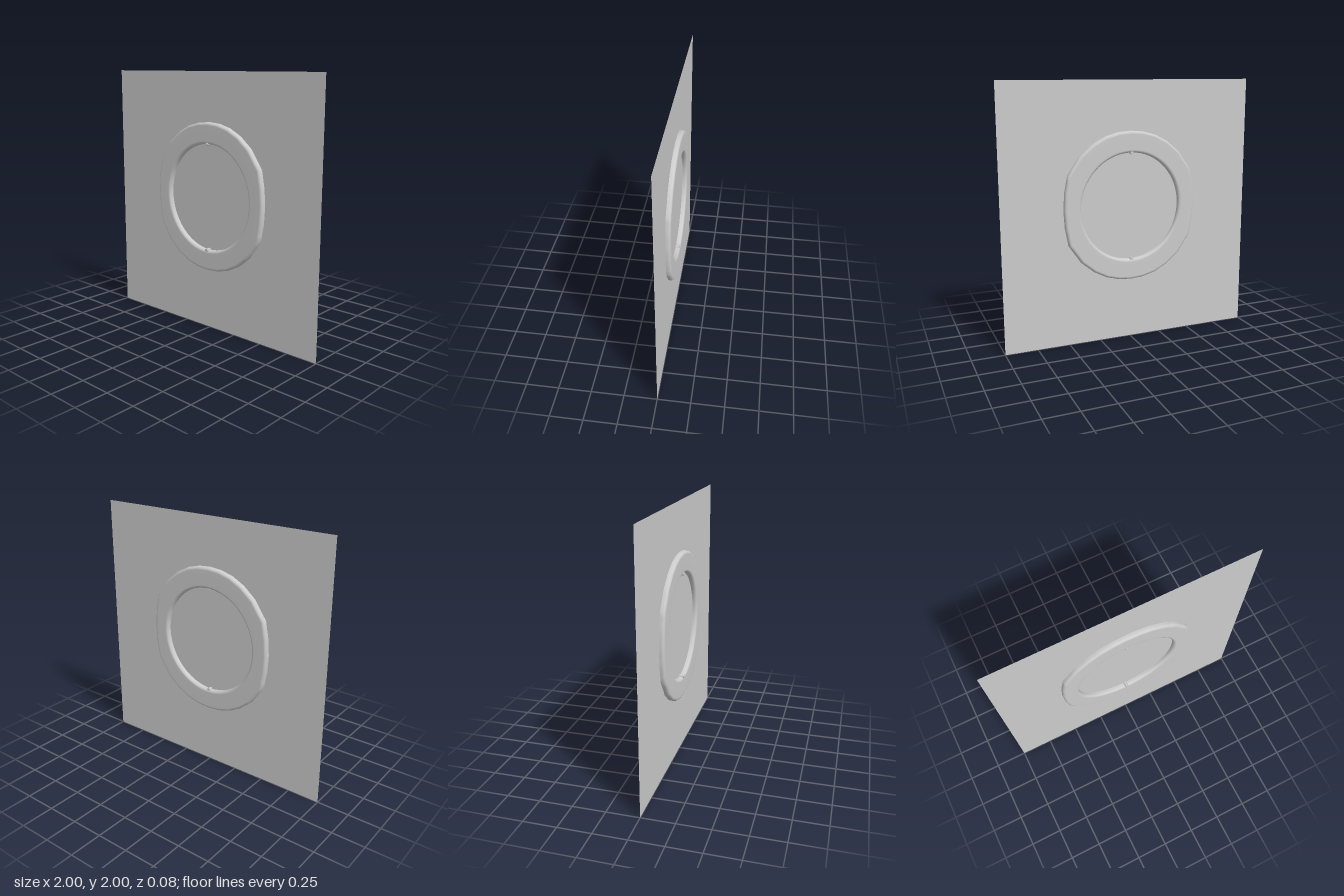
import * as THREE from 'three';

const CENTRE_Y = 1.05;
const HALF_DEPTH = 0.037;
const BEVEL = 0.022;

// Outer edge of the ring in one quadrant, from the side to the top
const QUADRANT = [
  [0.53, 0], [0.522, 0.13], [0.497, 0.265], [0.4, 0.405],
  [0.3, 0.488], [0.2, 0.54], [0.1, 0.567], [0, 0.575],
];

// Mirrors the quadrant into a closed outline and subdivides each side
function outerLoop(steps) {
  const back = QUADRANT.slice(1, -1).reverse();
  const corners = [
    ...QUADRANT,
    ...back.map(([x, y]) => [-x, y]),
    ...QUADRANT.map(([x, y]) => [-x, -y]),
    ...back.map(([x, y]) => [x, -y]),
  ];
  // the two side points sit on the mirror axis, so drop the repeat
  corners.splice(QUADRANT.length + back.length, 1, [-QUADRANT[0][0], 0]);
  const loop = [];
  corners.forEach(([x, y], i) => {
    const [nx, ny] = corners[(i + 1) % corners.length];
    for (let k = 0; k < steps; k++) {
      const t = k / steps;
      loop.push(new THREE.Vector2(x + (nx - x) * t, y + (ny - y) * t));
    }
  });
  return loop;
}

// Rounded-rectangle section swept around between inner ellipse and outer edge
function ringGeometry() {
  const loop = outerLoop(3);
  const arc = 5;
  const count = 4 * (arc + 1);
  const positions = [];
  const index = [];
  loop.forEach((outer, i) => {
    const a = Math.atan2(outer.y, outer.x);
    const inner = new THREE.Vector2(0.4 * Math.cos(a), 0.412 * Math.sin(a));
    const dir = outer.clone().sub(inner);
    const width = dir.length();
    dir.normalize();
    for (let c = 0; c < 4; c++) {
      const cornerS = c === 0 || c === 3 ? width - BEVEL : BEVEL;
      const cornerZ = (c < 2 ? 1 : -1) * (HALF_DEPTH - BEVEL);
      for (let k = 0; k <= arc; k++) {
        const t = (c + k / arc) * Math.PI / 2;
        const s = cornerS + BEVEL * Math.cos(t);
        positions.push(inner.x + dir.x * s, inner.y + dir.y * s, cornerZ + BEVEL * Math.sin(t));
      }
    }
    const next = (i + 1) % loop.length;
    for (let j = 0; j < count; j++) {
      const j2 = (j + 1) % count;
      const p = i * count + j, q = next * count + j;
      const p2 = i * count + j2, q2 = next * count + j2;
      index.push(p, q, q2, p, q2, p2);
    }
  });
  const geometry = new THREE.BufferGeometry();
  geometry.setAttribute('position', new THREE.Float32BufferAttribute(positions, 3));
  geometry.setIndex(index);
  geometry.computeVertexNormals();
  return geometry;
}

export function createModel() {
  const model = new THREE.Group();
  model.name = 'ringOnPanel';
  const grey = new THREE.MeshStandardMaterial({ color: 0xcccccc });
  const thin = new THREE.MeshStandardMaterial({ color: 0xcccccc, side: THREE.DoubleSide });

  function add(name, geometry, material, x, y, z) {
    const mesh = new THREE.Mesh(geometry, material);
    mesh.name = name;
    mesh.position.set(x, y, z);
    model.add(mesh);
    return mesh;
  }

  // Thin square panel
  add('panel', new THREE.PlaneGeometry(2, 2), thin, 0, 1, 0);

  // Ring passing through both faces of the panel
  add('ring', ringGeometry(), grey, 0, CENTRE_Y, 0);

  // Small pins on the inner edge, top and bottom
  const pin = new THREE.CylinderGeometry(0.013, 0.013, 0.072, 8);
  pin.rotateX(Math.PI / 2);
  for (const side of [1, -1]) {
    add(side > 0 ? 'topPin' : 'bottomPin', pin, grey, -0.005, CENTRE_Y + side * 0.412, 0.004);
  }
  return model;
}
